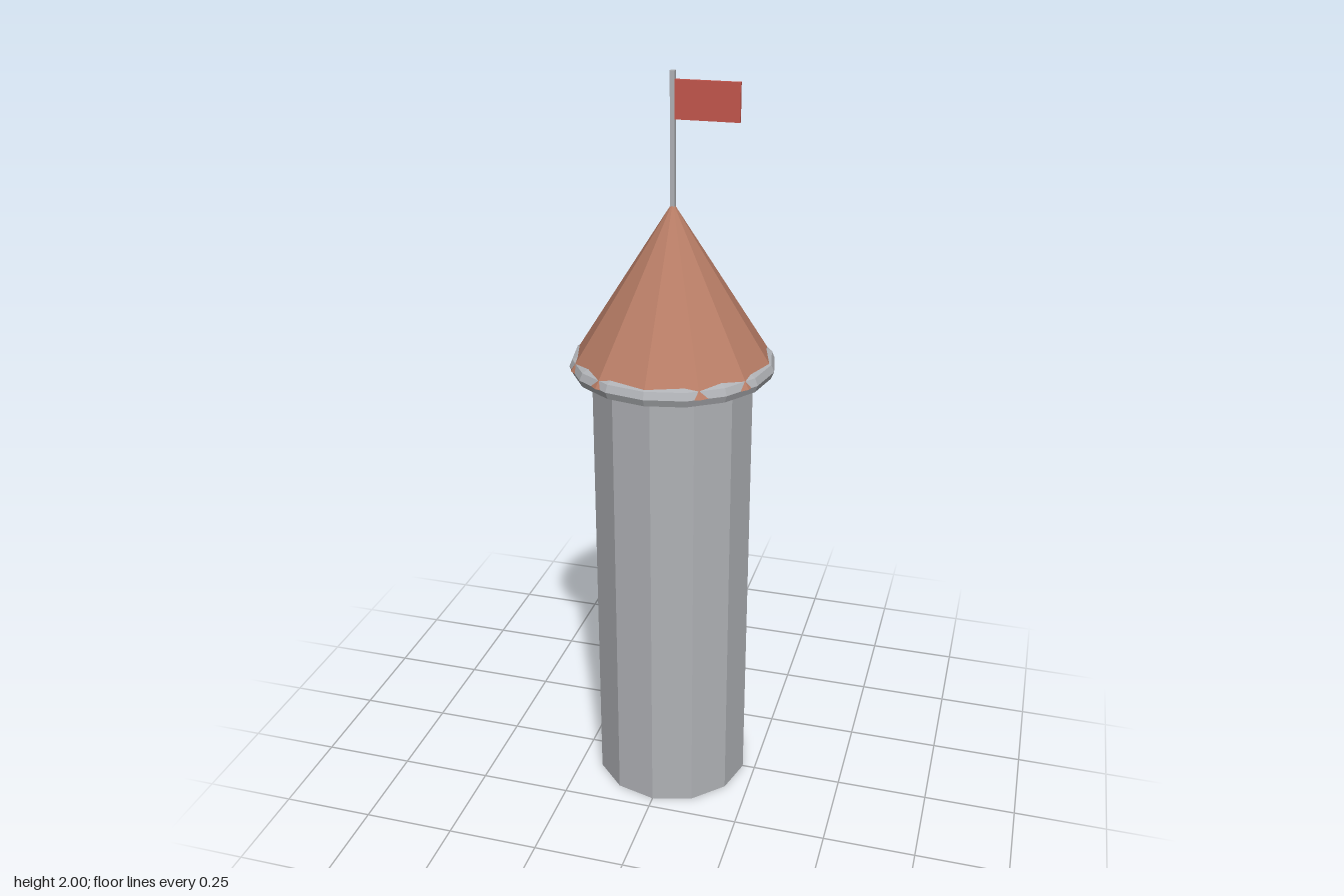
import * as THREE from 'three';

export function createModel() {
  const model = new THREE.Group();
  model.name = 'tower';

  const material = (name, color) => {
    const m = new THREE.MeshStandardMaterial({ color, flatShading: true });
    m.name = name;
    return m;
  };
  const stone = material('grey stone', 0xb0b2b6);
  const tile = material('terracotta tile', 0xb87d66);
  const cloth = material('red cloth', 0xc4574d);

  const add = (name, geometry, mat, x, y) => {
    const mesh = new THREE.Mesh(geometry, mat);
    mesh.name = name;
    mesh.position.set(x, y, 0);
    model.add(mesh);
    return mesh;
  };

  // Twelve-sided shaft
  const shaftHeight = 1.255;
  add('shaft', new THREE.CylinderGeometry(0.215, 0.215, shaftHeight, 12), stone, 0, shaftHeight / 2);

  // Faceted ring under the eaves
  add('eavesRing', new THREE.TorusGeometry(0.243, 0.027, 8, 16).rotateX(Math.PI / 2), stone, 0, 1.256);

  // Conical roof, its corners poking through the ring
  const roofHeight = 0.425;
  add('roof', new THREE.ConeGeometry(0.27, roofHeight, 12), tile, 0, 1.256 + roofHeight / 2);

  // Flagpole and flag
  add('flagpole', new THREE.BoxGeometry(0.012, 0.34, 0.012), stone, 0, 1.83);
  add('flag', new THREE.BoxGeometry(0.166, 0.095, 0.009), cloth, 0.085, 1.932);

  return model;
}
